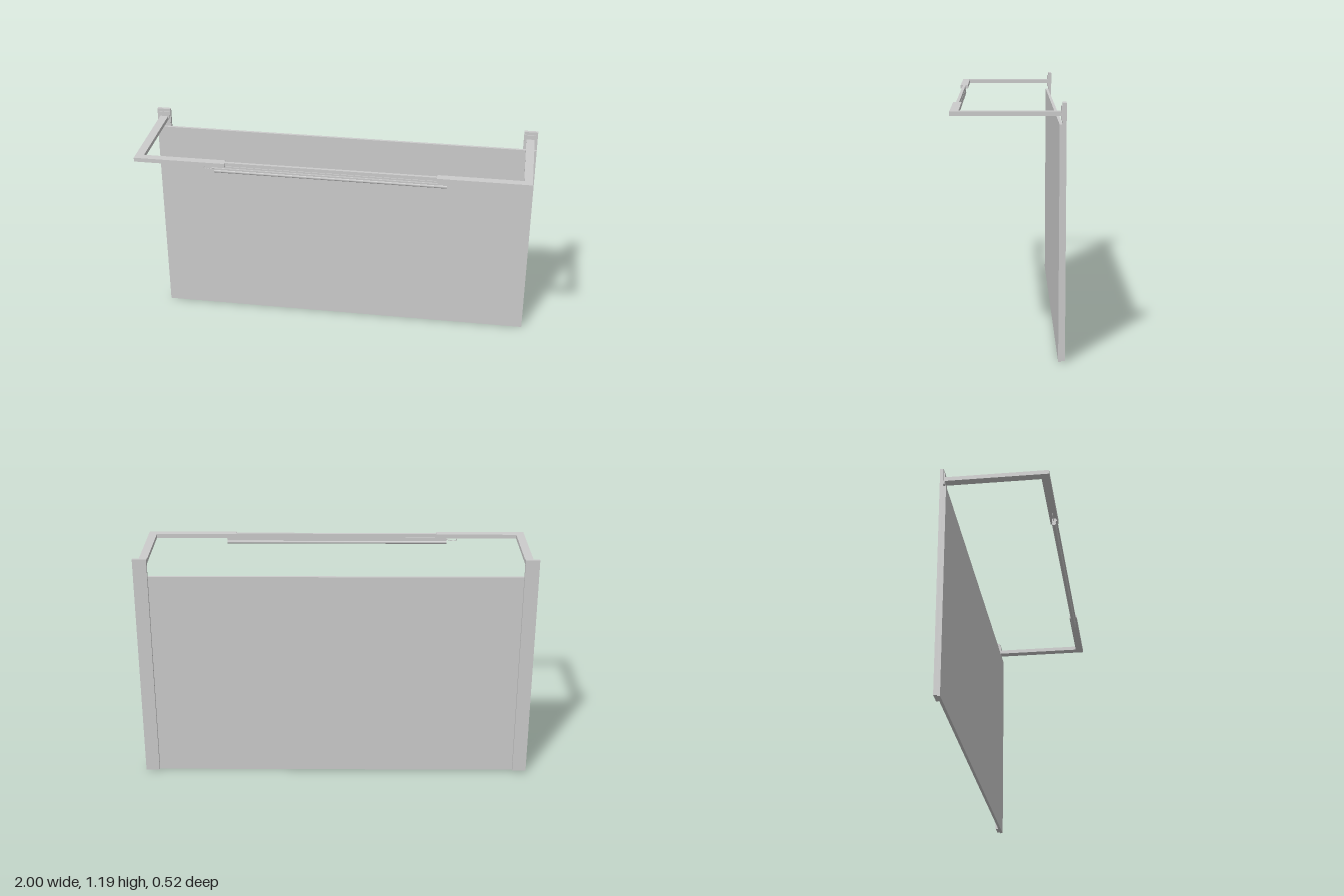
import * as THREE from 'three';

export function createModel() {
  const model = new THREE.Group();
  const mat = new THREE.MeshStandardMaterial({ color: 0xcccccc, side: THREE.DoubleSide });

  const add = (name, geometry, x = 0, y = 0, z = 0) => {
    const mesh = new THREE.Mesh(geometry, mat);
    mesh.name = name;
    mesh.position.set(x, y, z);
    model.add(mesh);
    return mesh;
  };
  // Box given by its lower and upper limits on each axis
  const box = (name, [x0, x1], [y0, y1], [z0, z1]) =>
    add(name, new THREE.BoxGeometry(x1 - x0, y1 - y0, z1 - z0),
      (x0 + x1) / 2, (y0 + y1) / 2, (z0 + z1) / 2);

  // Thin upright board
  box('board', [-1, 1], [0, 1.09], [-0.245, -0.231]);

  for (const side of [-1, 1]) {
    const label = side > 0 ? 'left' : 'right';
    const span = (a, b) => (side > 0 ? [a, b] : [-b, -a]);

    // Rear post and the plate that carries the arm
    box(label + 'Post', span(0.93, 1), [0.005, 1.187], [-0.262, -0.245]);
    box(label + 'ArmPlate', span(0.935, 0.99), [1.106, 1.172], [-0.245, -0.24]);

    // L-shaped arm with its corner at the front
    const arm = new THREE.Shape([
      [0.943, 0.24], [0.985, 0.24], [0.985, -0.26],
      [0.525, -0.26], [0.525, -0.22], [0.943, -0.22],
    ].map(([x, y]) => new THREE.Vector2(side * x, y)));
    const armGeo = new THREE.ExtrudeGeometry(arm, { depth: 0.021, bevelEnabled: false });
    armGeo.rotateX(-Math.PI / 2);
    add(label + 'Arm', armGeo, 0, 1.127, 0);
  }

  // Slim rail joining the arms
  box('lampRail', [-0.53, 0.53], [1.127, 1.147], [0.232, 0.247]);

  // Lamp housing, side lip and light tube below the rail
  box('lampHousing', [-0.58, 0.575], [1.108, 1.129], [0.231, 0.251]);
  box('lampLip', [-0.58, 0.53], [1.111, 1.12], [0.251, 0.258]);
  const tube = add('lightTube', new THREE.CylinderGeometry(0.0105, 0.0105, 1.155, 16), -0.0025, 1.1, 0.241);
  tube.rotation.z = Math.PI / 2;

  // Short curled cable at the lamp end
  const cable = new THREE.CatmullRomCurve3([
    [-0.575, 1.115], [-0.6, 1.109], [-0.617, 1.106], [-0.632, 1.112], [-0.634, 1.127],
  ].map(([x, y]) => new THREE.Vector3(x, y, 0.241)));
  add('cable', new THREE.TubeGeometry(cable, 20, 0.002, 8));

  return model;
}
